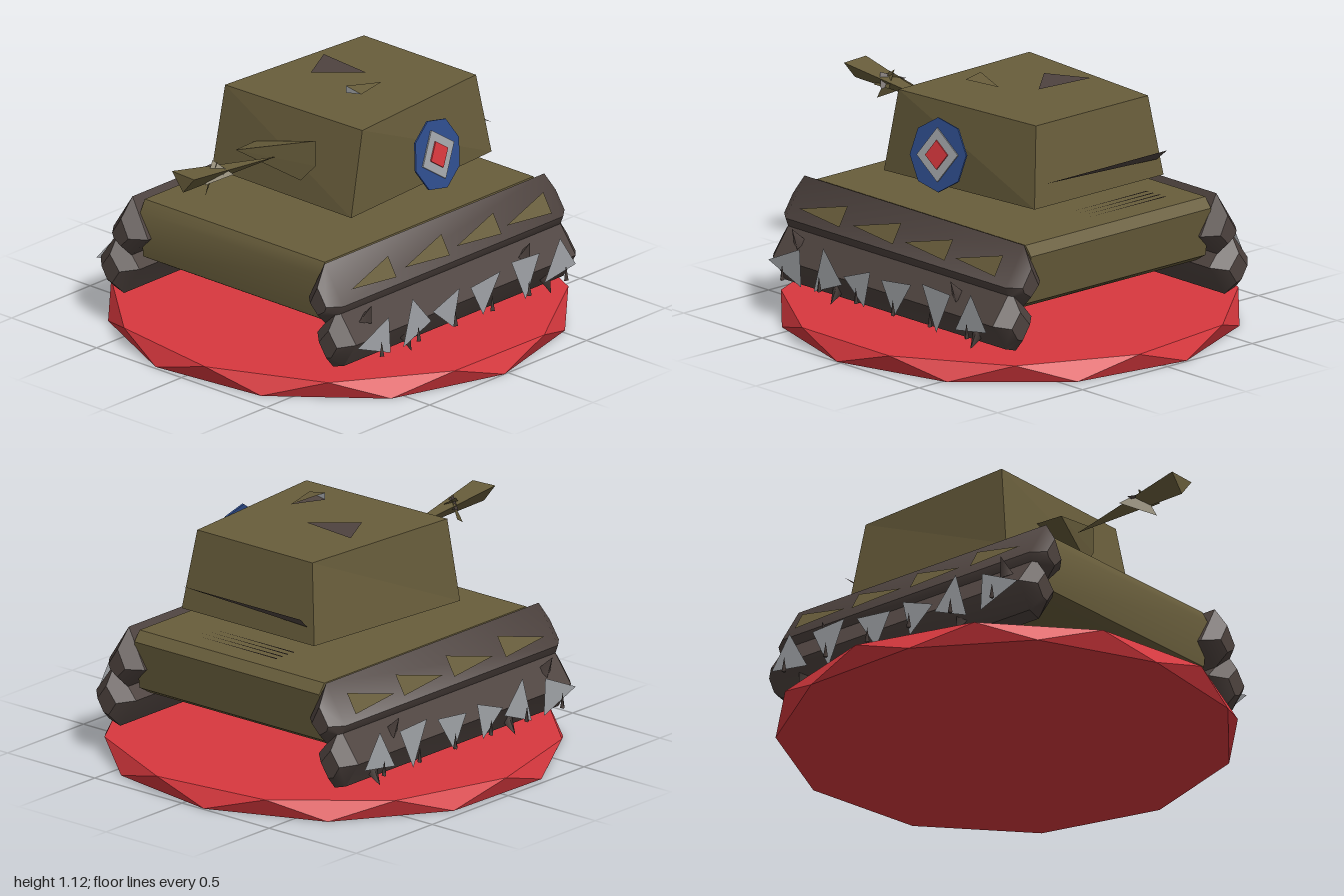
import * as THREE from 'three';
import { toCreasedNormals } from 'three/addons/utils/BufferGeometryUtils.js';

const paint = (name, color) => {
  const m = new THREE.MeshStandardMaterial({ color, side: THREE.DoubleSide });
  m.name = name;
  return m;
};
const olive = paint('olive', 0x685d3b);
const brown = paint('trackBrown', 0x4e433f);
const red = paint('red', 0xd8383e);
const silver = paint('silver', 0xa2a5a9);
const blue = paint('blue', 0x2e4c8c);

function add(parent, name, geometry, material) {
  const mesh = new THREE.Mesh(geometry, material);
  mesh.name = name;
  parent.add(mesh);
  return mesh;
}

// Closed skin through rings of [x, y, z] points, capped at both ends
function loft(rings, crease = 0.01) {
  const n = rings[0].length, index = [];
  for (let i = 0; i < rings.length - 1; i++) {
    for (let j = 0; j < n; j++) {
      const a = i * n + j, b = i * n + (j + 1) % n;
      index.push(a, b, a + n, b, b + n, a + n);
    }
  }
  const last = (rings.length - 1) * n;
  for (let j = 1; j < n - 1; j++) {
    index.push(0, j + 1, j, last, last + j, last + j + 1);
  }
  const g = new THREE.BufferGeometry();
  g.setAttribute('position', new THREE.Float32BufferAttribute(rings.flat(2), 3));
  g.setIndex(index);
  return toCreasedNormals(g, crease);
}

// Loose flat faces, three corners each
function faces(...points) {
  const g = new THREE.BufferGeometry();
  g.setAttribute('position', new THREE.Float32BufferAttribute(points.flat(), 3));
  g.computeVertexNormals();
  return g;
}

function makeBase() {
  const ring = (start, y) => Array.from({ length: 11 }, (_, i) => {
    const a = (start + i * 360 / 11) * Math.PI / 180;
    return [Math.sin(a), y, Math.cos(a)];
  });
  return loft([ring(-9.5, 0), ring(7.5, 0.085)]);
}

// One side's running gear, built on +x
function makeTrack() {
  const side = new THREE.Group();
  const bars = [
    ['upperTrack', [[0.47, 0.42], [0.57, 0.32], [0.66, 0.38], [0.68, 0.43], [0.565, 0.605]]],
    ['lowerTrack', [[0.52, 0.27], [0.615, 0.13], [0.68, 0.15], [0.755, 0.27], [0.645, 0.42]]],
  ];
  for (const [name, pts] of bars) {
    const cx = pts.reduce((s, p) => s + p[0], 0) / pts.length;
    const cy = pts.reduce((s, p) => s + p[1], 0) / pts.length;
    const ring = (z, s) => pts.map(([x, y]) => [cx + (x - cx) * s, cy + (y - cy) * s, z]);
    const rings = [ring(-0.76, 0.45), ring(-0.7, 0.97), ring(0.7, 0.97), ring(0.76, 0.45)];
    add(side, name, loft(rings, 0.7), brown);
  }
  // Olive fender wedges
  for (const z of [0.63, 0.29, -0.04, -0.36]) {
    add(side, 'fenderPanel', faces([0.66, 0.485, z], [0.675, 0.465, z - 0.27], [0.625, 0.55, z - 0.27]), olive);
  }
  // Three-cornered wheel faces as [z, y] corners, each with a small bolt
  const wheels = [
    [[0.71, 0.26], [0.50, 0.18], [0.51, 0.35]],
    [[0.42, 0.18], [0.24, 0.25], [0.36, 0.39]],
    [[0.23, 0.29], [0.10, 0.18], [0.06, 0.35]],
    [[-0.01, 0.33], [-0.09, 0.18], [-0.20, 0.35]],
    [[-0.27, 0.37], [-0.36, 0.17], [-0.45, 0.36]],
    [[-0.48, 0.21], [-0.68, 0.24], [-0.58, 0.39]],
  ];
  wheels.forEach((w, i) => {
    add(side, 'wheel', faces(...w.map(([z, y]) => [0.77, y, z])), silver);
    const z = 0.59 - i * 0.235;
    const bolt = add(side, 'bolt', new THREE.ConeGeometry(0.012, 0.07, 3), brown);
    bolt.position.set(0.8, 0.235, z);
  });
  // Jagged track teeth
  for (const [z, y] of [[0.59, 0.38], [0.34, 0.17], [-0.42, 0.37], [-0.55, 0.17]]) {
    const tooth = add(side, 'trackTooth', new THREE.ConeGeometry(0.035, 0.09, 3), brown);
    tooth.position.set(0.72, y, z);
    tooth.rotation.z = y > 0.3 ? -0.5 : Math.PI + 0.6;
  }
  return side;
}

function makeRoundel() {
  const g = new THREE.Group();
  g.name = 'roundel';
  const discs = [[0.162, 8, blue, 0], [0.118, 4, silver, 0.006], [0.064, 4, red, 0.012]];
  for (const [r, n, mat, out] of discs) {
    const disc = new THREE.CylinderGeometry(r, r, 0.008, n).toNonIndexed();
    disc.computeVertexNormals();
    disc.rotateY(0.18).rotateZ(-Math.PI / 2).translate(out, 0, 0);
    add(g, 'roundelRing', disc, mat);
  }
  g.position.set(0.502, 0.857, -0.085);
  g.rotation.set(0, 0.09, 0.2, 'YZX');
  return g;
}

export function createModel() {
  const model = new THREE.Group();
  model.name = 'toyTank';
  add(model, 'base', makeBase(), red);

  // Hull: side profile of [z, y] carried across x
  const profile = [[-0.67, 0.585], [0.66, 0.585], [0.69, 0.53], [0.67, 0.32],
    [0.6, 0.28], [-0.6, 0.28], [-0.67, 0.32], [-0.705, 0.54]];
  add(model, 'hull', loft([-0.53, 0.53].map(x => profile.map(([z, y]) => [x, y, z])), 0.7), olive);

  // Running gear on both sides
  const left = makeTrack();
  left.name = 'leftTrack';
  const right = makeTrack();
  right.name = 'rightTrack';
  right.scale.x = -1;
  model.add(left, right);

  // Turret
  add(model, 'turret', loft([
    [[-0.42, 0.668, 0.35], [0.41, 0.668, 0.362], [0.38, 0.692, -0.565], [-0.38, 0.692, -0.565]],
    [[-0.39, 1.05, 0.30], [0.40, 1.05, 0.28], [0.33, 1.05, -0.52], [-0.33, 1.05, -0.52]],
  ]), olive);
  model.add(makeRoundel());

  // Mantlet: lopsided pyramid on the turret front
  const foot = [[-0.19, 0.85, 0.32], [0.11, 0.76, 0.36], [0.18, 0.84, 0.34], [0.18, 0.958, 0.34]];
  const tip = [-0.18, 0.852, 0.46];
  add(model, 'mantlet', faces(...foot.flatMap((p, i) => [p, foot[(i + 1) % 4], tip])), olive);

  // Gun: a three-sided spike that widens to the muzzle
  const muzzle = [[-0.065, 0.945, 0.99], [0, 0.862, 0.99], [0.065, 0.94, 0.99]];
  const root = [0, 0.852, 0.4];
  add(model, 'gunBarrel', faces(...muzzle.flatMap((p, i) => [p, muzzle[(i + 1) % 3], root]), ...muzzle), olive);
  add(model, 'barrelSleeve', faces(
    [-0.09, 0.87, 0.71], [0.0, 0.94, 0.77], [0.0, 0.8, 0.85],
    [0.05, 0.88, 0.72], [-0.03, 0.94, 0.77], [0.01, 0.86, 0.86]), olive);
  add(model, 'barrelCollar', faces([-0.07, 0.9, 0.74], [0.06, 0.87, 0.76], [0.02, 0.93, 0.81]), brown);

  // Roof hatch and periscope
  add(model, 'hatch', faces([-0.28, 1.07, -0.21], [-0.18, 1.07, -0.02], [0, 1.07, -0.18]), brown);
  add(model, 'periscopeGlass', faces([0.11, 1.083, 0.07], [0.2, 1.1, 0.07], [0.11, 1.115, 0.07]), silver);
  add(model, 'periscopeSide', faces([0.2, 1.1, 0.07], [0.16, 1.095, -0.1], [0.11, 1.115, 0.07]), olive);
  add(model, 'periscopeBase', faces([0.11, 1.083, 0.07], [0.16, 1.095, -0.1], [0.2, 1.1, 0.07]), brown);

  // Rear plate and engine grille slats
  add(model, 'rearPlate', faces([-0.35, 0.82, -0.62], [0.35, 0.81, -0.602], [-0.34, 0.77, -0.565]), brown);
  for (let i = 0; i < 4; i++) {
    const z = -0.695 + i * 0.037;
    add(model, 'grilleSlat', faces([-0.28, 0.643, z], [-0.27, 0.643, z + 0.01], [0.18, 0.645, z]), brown);
  }
  return model;
}
